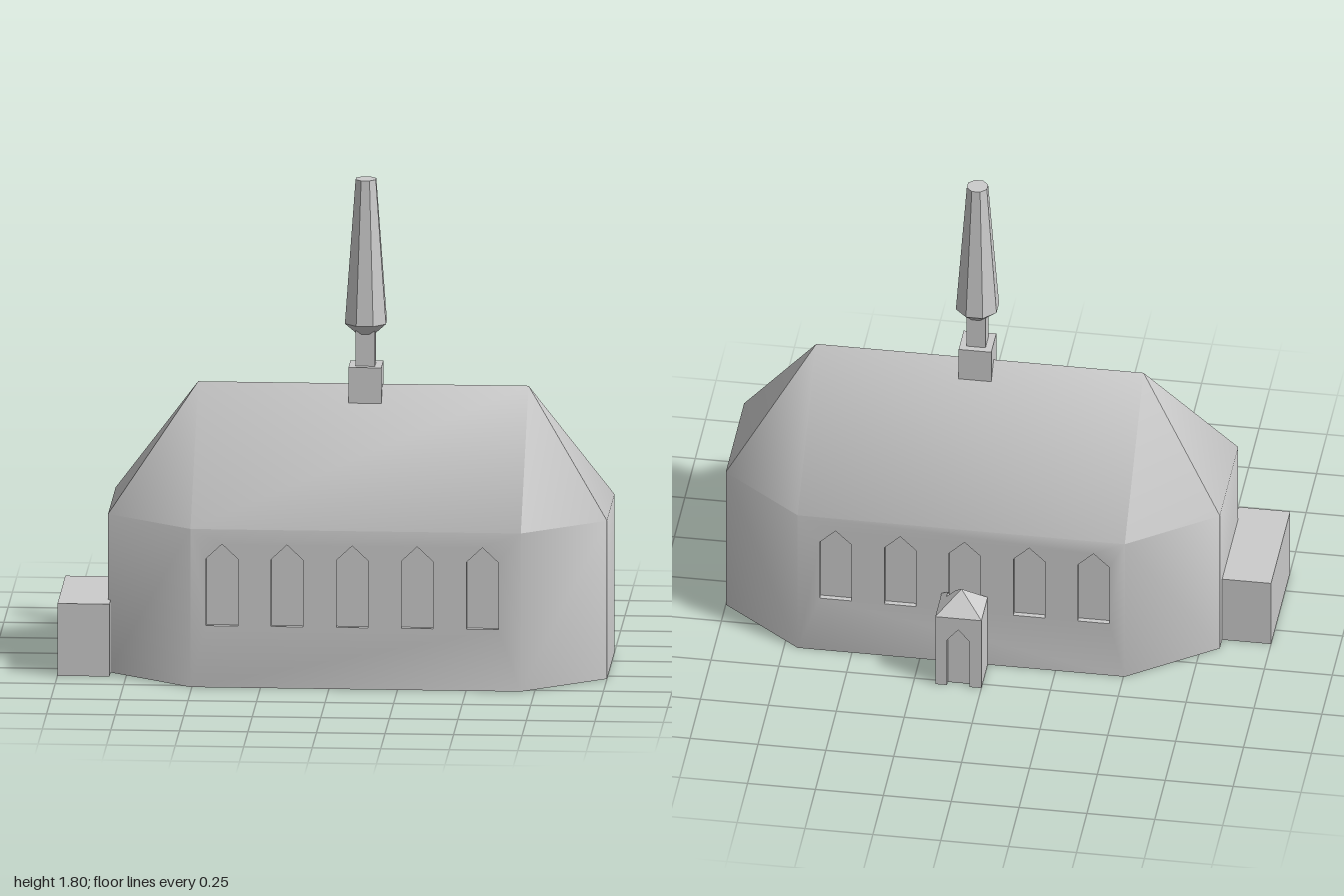
import * as THREE from 'three';
import { mergeGeometries, toCreasedNormals } from 'three/addons/utils/BufferGeometryUtils.js';

const CZ = 0.075;                                   // z of the ridge line
const XL = -0.505, XR = 0.70, EL = -0.82, ER = 1.0; // long wall ends, gable ends
const HALF = 0.45, END = 0.22, EAVE = 0.59, RIDGE = 1.04;
const WINDOWS = [-0.39, -0.153, 0.085, 0.322, 0.56];
const RECESS = 0.02;

// Triangle soup from convex (or star-shaped) polygons
function polys(list) {
  const pos = [];
  for (const p of list)
    for (let i = 1; i < p.length - 1; i++) pos.push(...p[0], ...p[i], ...p[i + 1]);
  const g = new THREE.BufferGeometry();
  g.setAttribute('position', new THREE.Float32BufferAttribute(pos, 3));
  g.computeVertexNormals();
  return g;
}

// Position-only, faceted copy, so that pieces can be merged
function soup(geo) {
  const src = geo.index ? geo.toNonIndexed() : geo;
  const g = new THREE.BufferGeometry();
  g.setAttribute('position', src.attributes.position.clone());
  g.computeVertexNormals();
  return g;
}

function mirrorZ(geo) {
  const g = geo.clone(), p = g.attributes.position;
  for (let i = 0; i < p.count; i += 3) {
    const v = [0, 2, 1].map(k => [p.getX(i + k), p.getY(i + k), -p.getZ(i + k)]);
    v.forEach((c, k) => p.setXYZ(i + k, ...c));
  }
  g.computeVertexNormals();
  return g;
}

function box(x0, x1, y0, y1, z0, z1) {
  return soup(new THREE.BoxGeometry(x1 - x0, y1 - y0, z1 - z0)
    .translate((x0 + x1) / 2, (y0 + y1) / 2, (z0 + z1) / 2));
}

// Pointed opening, counter-clockwise
const arch = (x, w, y0, y1, y2) =>
  [[x - w, y0], [x + w, y0], [x + w, y1], [x, y2], [x - w, y1]].map(p => new THREE.Vector2(...p));

// One long side: pierced wall, slanted corner walls and roof
function longSide() {
  const wall = new THREE.Shape([[XL, 0], [XR, 0], [XR, EAVE], [XL, EAVE]].map(p => new THREE.Vector2(...p)));
  const faces = [], panes = [];
  for (const x of WINDOWS) {
    const o = arch(x, 0.058, 0.23, 0.48, 0.535);
    wall.holes.push(new THREE.Path(o));
    panes.push(soup(new THREE.ShapeGeometry(new THREE.Shape(o))).translate(0, 0, HALF - RECESS));
    o.forEach((a, i) => {
      const b = o[(i + 1) % o.length], d = HALF - RECESS;
      faces.push([[a.x, a.y, HALF], [b.x, b.y, HALF], [b.x, b.y, d], [a.x, a.y, d]]);
    });
  }
  faces.push([[XL, EAVE, HALF], [XR, EAVE, HALF], [XR, RIDGE, 0], [XL, RIDGE, 0]]);
  for (const [x, e] of [[XR, ER], [XL, EL]]) {
    const set = [
      [[x, 0, HALF], [e, 0, END], [e, EAVE, END], [x, EAVE, HALF]],
      [[x, EAVE, HALF], [e, EAVE, END], [x, RIDGE, 0]],
    ];
    if (e < 0) set.forEach(f => f.reverse());
    faces.push(...set);
  }
  const front = soup(new THREE.ShapeGeometry(wall)).translate(0, 0, HALF);
  return mergeGeometries([front, polys(faces), ...panes]);
}

// End walls running smoothly into the hipped roof ends
function endFaces() {
  const faces = [];
  for (const [x, e] of [[XR, ER], [XL, EL]]) {
    const set = [
      [[e, 0, END], [e, 0, -END], [e, EAVE, -END], [e, EAVE, END]],
      [[e, EAVE, END], [e, EAVE, -END], [x, RIDGE, 0]],
    ];
    if (e < 0) set.forEach(f => f.reverse());
    faces.push(...set);
  }
  return polys(faces);
}

// Porch roof: pyramid with a slot left clear in front of the middle window
function porchRoof() {
  const a = 0.085, b = 0.075, h = 0.08, n = 0.058, k = 0.022;
  const zc = b * n / a, c = a * k / b;
  const yx = x => h * (1 - x / a), yz = z => h * (1 - z / b);
  const faces = [
    [[-a, 0, -b], [0, h, 0], [a, 0, -b]],
    [[0, h, 0], [-c, yz(k), k], [c, yz(k), k]],
    [[-n, 0, k], [n, 0, k], [n, yx(n), k], [c, yz(k), k], [-c, yz(k), k], [-n, yx(n), k]],
  ];
  for (const s of [1, -1]) {
    const set = [
      [[n, yx(n), k], [n, yx(n), zc], [a, 0, b], [a, 0, -b], [0, h, 0], [c, yz(k), k]],
      [[n, yx(n), zc], [n, 0, b], [a, 0, b]],
      [[n, 0, k], [n, 0, b], [n, yx(n), zc], [n, yx(n), k]],
    ].map(f => f.map(([x, y, z]) => [s * x, y, z]));
    if (s < 0) set.forEach(f => f.reverse());
    faces.push(...set);
  }
  return polys(faces);
}

// Porch walls with a pointed doorway in the outer face
function porchWalls() {
  const d = arch(0, 0.042, 0, 0.2, 0.25);
  const plate = new THREE.Shape([
    new THREE.Vector2(-0.085, 0), d[0], d[4], d[3], d[2], d[1],
    new THREE.Vector2(0.085, 0), new THREE.Vector2(0.085, 0.3), new THREE.Vector2(-0.085, 0.3),
  ]);
  const outer = soup(new THREE.ExtrudeGeometry(plate, { depth: RECESS, bevelEnabled: false }));
  return mergeGeometries([
    outer.translate(0, 0, -0.075),
    box(-0.085, 0.085, 0, 0.3, -0.075 + RECESS, 0.022),
    box(-0.085, 0.085, 0, 0.23, 0.022, 0.075),
    box(-0.085, -0.058, 0.23, 0.3, 0.022, 0.075),
    box(0.058, 0.085, 0.23, 0.3, 0.022, 0.075),
  ]);
}

export function createModel() {
  const model = new THREE.Group();
  model.name = 'chapel';
  const stone = new THREE.MeshStandardMaterial({ color: 0xcccccc });
  stone.name = 'pale grey';
  const add = (parent, name, geo) => {
    const m = new THREE.Mesh(geo, stone);
    m.name = name;
    parent.add(m);
    return m;
  };
  const group = (name, x, y, z) => {
    const g = new THREE.Group();
    g.name = name;
    g.position.set(x, y, z);
    model.add(g);
    return g;
  };

  // Main hall
  const hall = group('hall', 0, 0, CZ);
  const side = longSide();
  add(hall, 'frontSide', toCreasedNormals(side, 0.85));
  add(hall, 'backSide', toCreasedNormals(mirrorZ(side), 0.85));
  add(hall, 'hippedEnds', toCreasedNormals(endFaces(), 0.85));
  add(hall, 'floor', polys([[
    [XL, 0, HALF], [EL, 0, END], [EL, 0, -END], [XL, 0, -HALF],
    [XR, 0, -HALF], [ER, 0, -END], [ER, 0, END], [XR, 0, HALF],
  ]]));

  // Low block at the right end
  add(model, 'annex', box(-1, -0.81, 0, 0.27, -0.09, 0.37));

  // Back porch
  const porch = group('porch', 0.085, 0, -0.45);
  add(porch, 'porchWalls', porchWalls());
  add(porch, 'porchRoof', porchRoof()).position.y = 0.3;

  // Ridge turret with eight-sided spire
  const turret = group('turret', 0.107, 0, 0.077);
  add(turret, 'turretBase', box(-0.06, 0.06, 0.98, 1.113, -0.06, 0.06));
  add(turret, 'turretNeck', box(-0.035, 0.035, 1.113, 1.25, -0.035, 0.035));
  const profile = [[0, 1.23], [0.036, 1.23], [0.081, 1.27], [0.04, 1.805], [0, 1.805]]
    .map(p => new THREE.Vector2(...p));
  add(turret, 'spire', soup(new THREE.LatheGeometry(profile, 8, Math.PI / 8)));

  return model;
}
